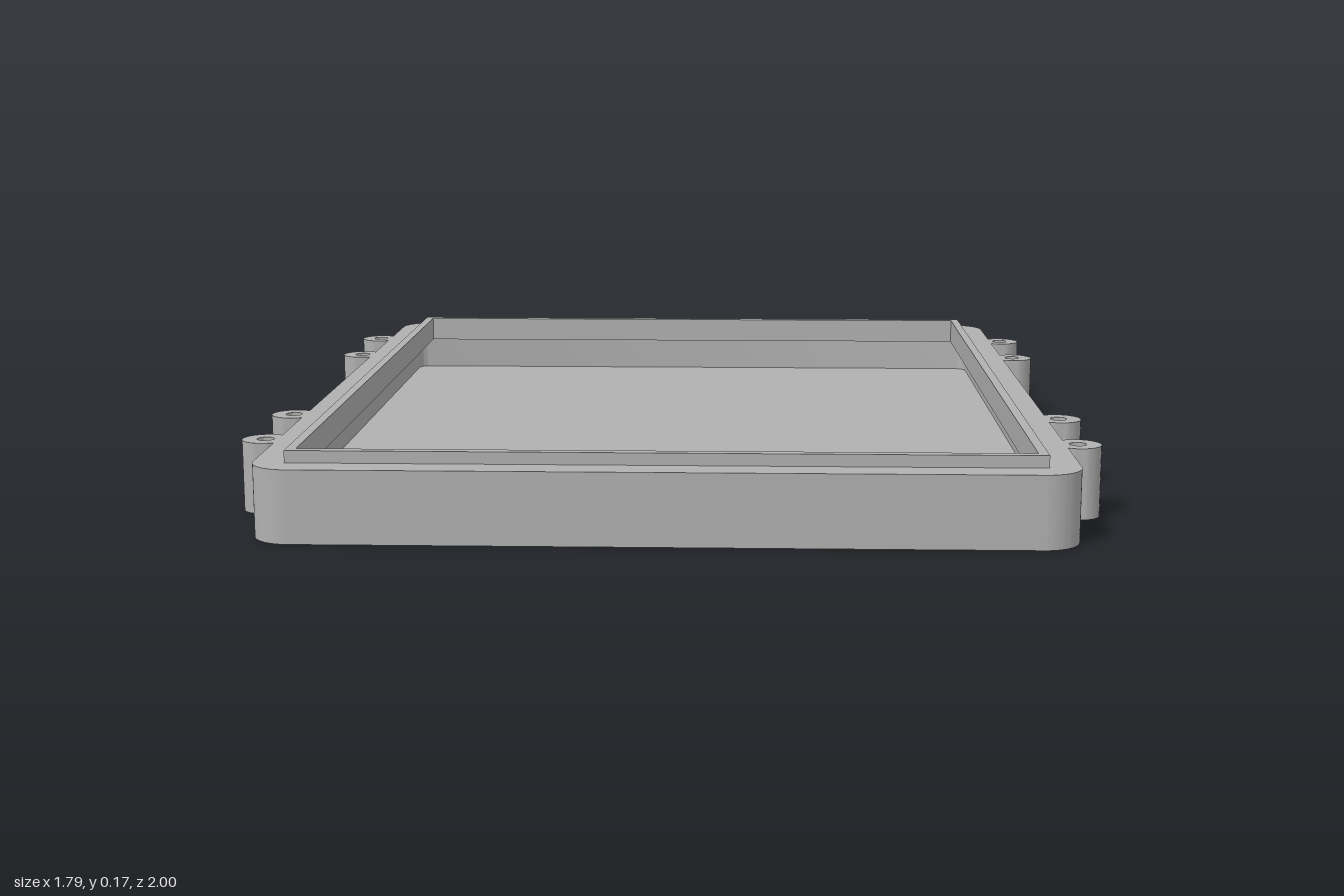
import * as THREE from 'three';
import { toCreasedNormals } from 'three/addons/utils/BufferGeometryUtils.js';

const grey = new THREE.MeshStandardMaterial({ color: 0xb0b0b0 });
grey.name = 'grey';

// Rectangle outline with half sizes w and d and optional corner radius r
function rectangle(w, d, r, Kind = THREE.Shape) {
  const s = new Kind();
  if (!r) {
    s.moveTo(-w, -d).lineTo(w, -d).lineTo(w, d).lineTo(-w, d).closePath();
    return s;
  }
  s.absarc(w - r, d - r, r, 0, Math.PI / 2);
  s.absarc(-w + r, d - r, r, Math.PI / 2, Math.PI);
  s.absarc(-w + r, -d + r, r, Math.PI, Math.PI * 1.5);
  s.absarc(w - r, -d + r, r, Math.PI * 1.5, Math.PI * 2);
  s.closePath();
  return s;
}

// Upright slab from y0 to y1 with a plan outline and an optional opening
function slab(name, outline, hole, y0, y1) {
  if (hole) outline.holes.push(hole);
  const geo = new THREE.ExtrudeGeometry(outline, { depth: y1 - y0, bevelEnabled: false, curveSegments: 12 });
  geo.rotateX(-Math.PI / 2).translate(0, y0, 0);
  const mesh = new THREE.Mesh(toCreasedNormals(geo, 0.6), grey);
  mesh.name = name;
  return mesh;
}

// Tubular screw lug with a wider bore at its foot
function screwLug(x, z) {
  const outer = 0.049, bore = 0.018, foot = 0.026, top = 0.15, step = 0.05;
  const profile = [
    [bore, step], [foot, step], [foot, 0], [outer, 0], [outer, top], [bore, top], [bore, step],
  ].map(([r, y]) => new THREE.Vector2(r, y));
  const geo = toCreasedNormals(new THREE.LatheGeometry(profile, 32), 0.6);
  const mesh = new THREE.Mesh(geo, grey);
  mesh.name = 'screwLug';
  mesh.position.set(x, 0, z);
  return mesh;
}

export function createModel() {
  const model = new THREE.Group();
  model.name = 'enclosureTray';
  const W = 0.82, D = 1, R = 0.08;

  // Tray: floor, thin walls, thicker rim and raised sealing lip
  model.add(
    slab('floor', rectangle(W, D, R), null, 0, 0.03),
    slab('walls', rectangle(W, D, R), rectangle(0.78, 0.96, 0.03, THREE.Path), 0.03, 0.115),
    slab('rim', rectangle(W, D, R), rectangle(0.735, 0.913, 0, THREE.Path), 0.115, 0.15),
    slab('sealingLip', rectangle(0.755, 0.935, 0), rectangle(0.735, 0.913, 0, THREE.Path), 0.15, 0.175),
  );

  // Four lugs along each long side
  const lugs = new THREE.Group();
  lugs.name = 'screwLugs';
  for (const x of [-0.846, 0.846])
    for (const z of [-0.697, -0.419, 0.419, 0.697]) lugs.add(screwLug(x, z));
  model.add(lugs);

  return model;
}
